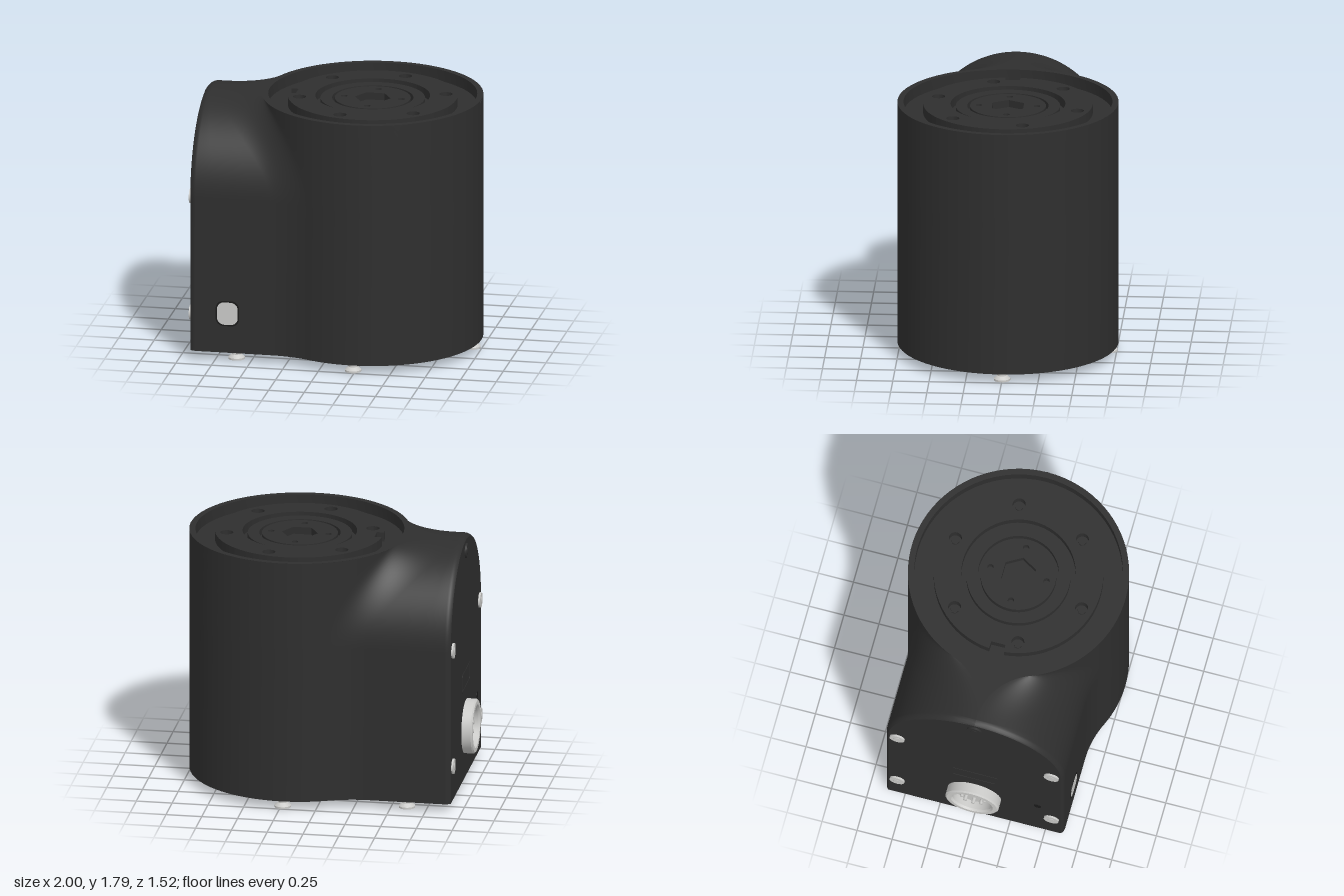
import * as THREE from 'three';
import { toCreasedNormals } from 'three/addons/utils/BufferGeometryUtils.js';

const CX = 0.235, R = 0.762, HALF = 0.635, SPRING = 1.185, BACK = -0.925, BASE = 0.088, TOP = 1.82;

export function createModel() {
  const model = new THREE.Group();
  const black = new THREE.MeshStandardMaterial({ color: 0x2e2e2e, side: THREE.DoubleSide });
  const dark = new THREE.MeshStandardMaterial({ color: 0x1a1a1a });
  const silver = new THREE.MeshStandardMaterial({ color: 0xcacac8 });

  const add = (name, geo, mat, x = 0, y = 0, z = 0) => {
    const m = new THREE.Mesh(geo, mat);
    m.name = name;
    m.position.set(x, y, z);
    model.add(m);
  };
  const lathe = (pts, seg = 32) =>
    toCreasedNormals(new THREE.LatheGeometry(pts.map(p => new THREE.Vector2(...p)), seg), 0.5);
  // Disc or prism whose axis points to the back (-x)
  const backDisc = (r, h, seg = 24) => new THREE.CylinderGeometry(r, r, h, seg).rotateZ(Math.PI / 2);

  // Skin between rows of [x, y, z] points
  const skin = rows => {
    const n = rows[0].length, idx = [];
    for (let j = 0; j < rows.length - 1; j++)
      for (let i = 0; i < n - 1; i++) {
        const a = j * n + i, b = a + 1, c = b + n, d = a + n;
        idx.push(a, b, c, a, c, d);
      }
    const g = new THREE.BufferGeometry();
    g.setAttribute('position', new THREE.Float32BufferAttribute(rows.flat(2), 3));
    g.setIndex(idx);
    g.computeVertexNormals();
    return g;
  };
  // Horizontal flat face from [x, z] outlines, facing up or down
  const flat = (outer, holes, up) => {
    const s = up ? -1 : 1;
    const vec = l => l.map(p => new THREE.Vector2(p[0], s * p[1]));
    const shape = new THREE.Shape(vec(outer));
    for (const h of holes) shape.holes.push(new THREE.Path(vec(h)));
    return new THREE.ShapeGeometry(shape).rotateX(s * Math.PI / 2);
  };
  const circle = (r, n = 64) => Array.from({ length: n }, (_, i) =>
    [CX + r * Math.cos(i / n * 2 * Math.PI), r * Math.sin(i / n * 2 * Math.PI)]);

  // Housing: arched rear block filleted into an upright cylinder, cut into level rows
  const END = [[BACK, 0.02], [-0.915, 0.01], [-0.9, 0.003], [-0.885, 0]];
  const FILLET = 16, ARC = 36;
  const levelRow = t => {
    const y = SPRING + HALF * Math.sin(t), a = t > 1.5707 ? 0 : HALF * Math.cos(t);
    const rho = 0.43 + 0.24 * a / HALF;
    const fx = CX - Math.sqrt((R + rho) ** 2 - (a + rho) ** 2);
    const side = END.map(([x, d]) => {
      const r = HALF - d, yy = Math.min(y, SPRING + r);
      return [x, yy, Math.sqrt(Math.max(0, r * r - (yy - SPRING) ** 2))];
    });
    for (let i = 1; i < 4; i++) side.push([-0.885 + (fx + 0.885) * i / 4, y, a]);
    const end = Math.atan2(-(a + rho), CX - fx);
    for (let i = 0; i < FILLET; i++) {
      const p = -Math.PI / 2 + (end + Math.PI / 2) * i / FILLET;
      side.push([fx + rho * Math.cos(p), y, a + rho + rho * Math.sin(p)]);
    }
    const start = Math.atan2(a + rho, fx - CX);
    for (let i = 0; i <= ARC; i++) {
      const p = start * (1 - i / ARC);
      side.push([CX + R * Math.cos(p), y, R * Math.sin(p)]);
    }
    return [...side, ...side.slice(0, -1).reverse().map(([x, yy, z]) => [x, yy, -z])];
  };
  const baseRow = levelRow(0).map(([x, , z]) => [x, BASE, z]);
  const rows = [baseRow];
  for (let k = 0; k <= 28; k++) rows.push(levelRow(k / 28 * Math.PI / 2));
  add('housing', skin(rows), black);

  // Flat rear panel
  const panel = new THREE.Shape();
  const pr = HALF - 0.02;
  panel.moveTo(-pr, BASE);
  panel.lineTo(pr, BASE);
  panel.lineTo(pr, SPRING);
  panel.absarc(0, SPRING, pr, 0, Math.PI, false);
  add('rearPanel', new THREE.ShapeGeometry(panel, 32).rotateY(-Math.PI / 2), black, BACK);

  // Top rim around the socket
  const topRow = rows[rows.length - 1];
  const rim = topRow.slice(7, topRow.length - 8).map(p => [p[0], p[2]]);
  add('topRim', flat(rim, [circle(0.72)], true), black, 0, TOP);

  // Underside: a stepped recess leading to a round well and a separate rear box
  const recess = [[-0.885, 0.53]];
  const sweep = Math.PI - Math.asin(0.53 / 0.66);
  for (let i = 0; i <= 48; i++) {
    const p = sweep * (1 - i / 24);
    recess.push([CX + 0.66 * Math.cos(p), 0.66 * Math.sin(p)]);
  }
  recess.push([-0.885, -0.53]);
  const well = circle(0.59).reverse();
  const box = [[-0.88, 0.525], [-0.54, 0.525], [-0.54, -0.525], [-0.88, -0.525]];
  const FLANGE = 0.13;
  const innerWall = (name, outline, y0, y1) => {
    const loop = [...outline, outline[0]].reverse();
    add(name, toCreasedNormals(skin([y0, y1].map(y => loop.map(([x, z]) => [x, y, z]))), 0.5), black);
  };
  add('bottomRim', flat(baseRow.map(p => [p[0], p[2]]), [recess], false), black, 0, BASE);
  innerWall('rimStep', recess, BASE, FLANGE);
  add('innerFlange', flat(recess, [well, box], false), black, 0, FLANGE);
  innerWall('wellWall', well.slice().reverse(), FLANGE, 1.4);
  add('wellCeiling', flat(well, [], false), black, 0, 1.4);
  innerWall('boxWall', box, FLANGE, 1.35);
  add('boxCeiling', flat(box, [], false), black, 0, 1.35);

  // Socket floor with a raised ring
  add('socket', lathe([[0.72, 1.82], [0.72, 1.74], [0.36, 1.74], [0.36, 1.79], [0.28, 1.79], [0.28, 1.74],
    [0, 1.74]], 64), black, CX);

  // Horizontal plate from a shape, lying on the socket floor
  const lay = (shape, depth) =>
    new THREE.ExtrudeGeometry(shape, { depth, bevelEnabled: false, curveSegments: 32 }).rotateX(-Math.PI / 2);
  const hole = (shape, x, y, r) => shape.holes.push(new THREE.Path().absarc(x, y, r, 0, 2 * Math.PI, true));

  // Hub with a six-sided bore and four pin holes
  const hub = new THREE.Shape().absarc(0, 0, 0.262, 0, 2 * Math.PI, false);
  hub.holes.push(new THREE.Path(Array.from({ length: 6 }, (_, i) =>
    new THREE.Vector2(0.125 * Math.cos(-i * Math.PI / 3), 0.125 * Math.sin(-i * Math.PI / 3)))));
  for (let i = 0; i < 4; i++)
    hole(hub, 0.2 * Math.cos(i * Math.PI / 2), 0.2 * Math.sin(i * Math.PI / 2), 0.022);
  add('hub', lay(hub, 0.05), black, CX, 1.74);

  // Mounting flange with six bolt holes and a notch towards the back
  const ring = new THREE.Shape().absarc(0, 0, 0.585, -Math.PI + 0.09, Math.PI - 0.09, false);
  ring.lineTo(-0.53, 0.05);
  ring.lineTo(-0.53, -0.05);
  hole(ring, 0, 0, 0.395);
  for (let i = 0; i < 6; i++) {
    const a = (14.6 + 60 * i) * Math.PI / 180;
    const x = 0.505 * Math.cos(a), y = 0.505 * Math.sin(a);
    hole(ring, x, y, 0.045);
    add('boltHead', new THREE.CylinderGeometry(0.028, 0.028, 0.02, 6), black, CX + x, 1.75, -y);
  }
  add('mountingFlange', lay(ring, 0.065), black, CX, 1.74);

  // Rounded rectangle used for slots and windows
  const rounded = (w, h, r) => {
    const s = new THREE.Shape(), x = w / 2 - r, y = h / 2 - r;
    s.absarc(x, y, r, 0, Math.PI / 2, false);
    s.absarc(-x, y, r, Math.PI / 2, Math.PI, false);
    s.absarc(-x, -y, r, Math.PI, 1.5 * Math.PI, false);
    s.absarc(x, -y, r, 1.5 * Math.PI, 2 * Math.PI, false);
    return s;
  };
  const plate = (shape, depth) => new THREE.ExtrudeGeometry(shape, { depth, bevelEnabled: false, curveSegments: 8 });
  add('alignmentSlot', plate(rounded(0.04, 0.12, 0.019), 0.003).rotateY(Math.PI / 2), black, CX + R - 0.001, 1.758);
  add('sideWindowFrame', plate(rounded(0.165, 0.18, 0.055), 0.003), dark, -0.66, 0.37, HALF);
  add('sideWindow', plate(rounded(0.145, 0.16, 0.05), 0.005), silver, -0.66, 0.37, HALF);

  // Rear label outline and small port
  const label = rounded(0.33, 0.13, 0.015);
  label.holes.push(new THREE.Path(rounded(0.305, 0.105, 0.01).getPoints(8).reverse()));
  add('labelFrame', plate(label, 0.003).rotateY(-Math.PI / 2), black, BACK, 0.8, 0);
  add('rearPort', backDisc(0.026, 0.004), dark, BACK - 0.001, 0.52, 0.45);

  // Rear panel screws
  for (const [y, z, mat] of [[1.18, 0.55, silver], [1.18, -0.55, silver], [0.34, 0.55, silver],
    [0.34, -0.55, silver], [1.725, 0, black]]) {
    add('rearScrew', backDisc(0.053, 0.014), mat, BACK - 0.007, y, z);
    add('rearScrewHead', backDisc(0.026, 0.004, 6), mat, BACK - 0.015, y, z);
  }

  // Round connector with pins, and its body inside the rear box
  add('connector', lathe([[0.19, 0], [0.19, 0.065], [0.18, 0.075], [0.15, 0.075], [0.14, 0.06], [0.14, 0.005],
    [0, 0.005]], 40).rotateZ(Math.PI / 2), silver, BACK, 0.45, 0);
  for (let i = 0; i < 8; i++) {
    const a = i * Math.PI / 4;
    add('connectorPin', backDisc(0.013, 0.04, 10), silver, BACK - 0.025, 0.45 + 0.08 * Math.cos(a), 0.08 * Math.sin(a));
  }
  add('connectorBody', backDisc(0.15, 0.16, 32), silver, -0.8, 0.45, 0);

  // Feet
  for (const [x, z] of [[0.935, 0], [CX, 0.7], [CX, -0.7], [-0.61, 0.565], [-0.61, -0.565]]) {
    add('foot', lathe([[0, 0.03], [0.057, 0.03], [0.057, 0.043], [0.033, 0.065], [0.033, 0.12]], 24), silver, x, 0, z);
    add('footSocket', new THREE.CylinderGeometry(0.025, 0.025, 0.004, 6), dark, x, 0.0295, z);
  }
  return model;
}
